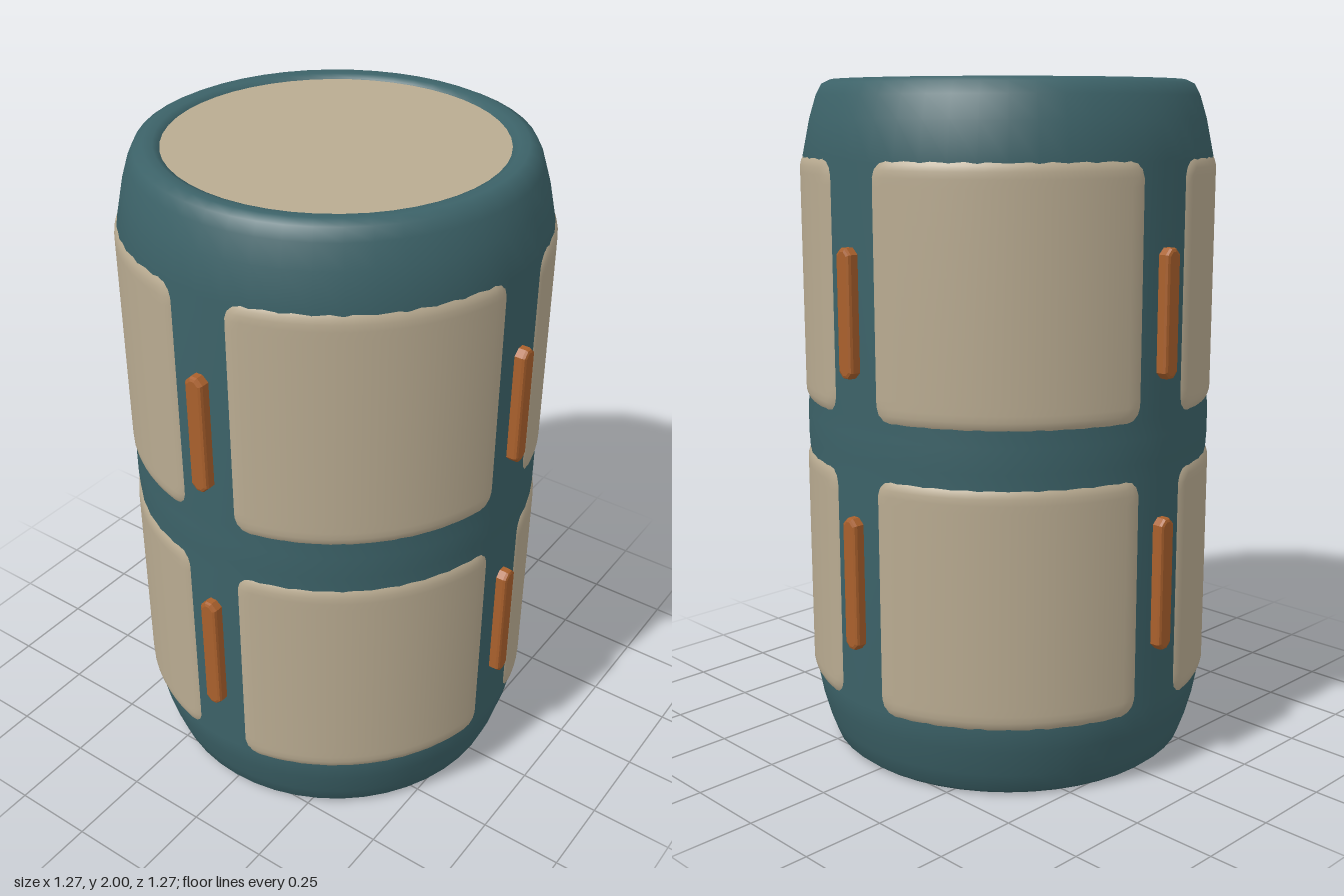
import * as THREE from 'three';

const teal = new THREE.MeshStandardMaterial({ color: 0x3c6268 });
teal.name = 'teal frame';
const beige = new THREE.MeshStandardMaterial({ color: 0xb9ab91 });
beige.name = 'beige panel';
const orange = new THREE.MeshStandardMaterial({ color: 0xa9602c });
orange.name = 'orange marker';

const R = 0.605;

// Rounded panel bent around the barrel; its edges sink into the frame.
function panelGeometry(height) {
  const hw = 0.402, hh = height / 2 + 0.013, corner = 0.06;
  const geo = new THREE.PlaneGeometry(2, 2, 26, 26);
  const pos = geo.attributes.position;
  const ease = (t) => Math.sign(t) * (1 - (1 - Math.abs(t)) ** 2); // denser near edges
  for (let i = 0; i < pos.count; i++) {
    const s = ease(pos.getX(i)) * hw, y = ease(pos.getY(i)) * hh;
    const qx = Math.abs(s) - hw + corner, qy = Math.abs(y) - hh + corner;
    const inside = corner - Math.hypot(Math.max(qx, 0), Math.max(qy, 0)) - Math.min(Math.max(qx, qy), 0);
    const t = THREE.MathUtils.clamp(inside / 0.04, 0, 1);
    const r = 0.596 + 0.017 * (1 - (1 - t) ** 2);
    const a = s / 0.61;
    pos.setXYZ(i, Math.sin(a) * r, y, Math.cos(a) * r);
  }
  geo.computeVertexNormals();
  return geo;
}

// Slim bevelled bar lying on a post
function markerGeometry(height) {
  const w = 0.018, h = height / 2 - 0.01, c = 0.012;
  const shape = new THREE.Shape([
    [-w + c, -h], [w - c, -h], [w, -h + c], [w, h - c],
    [w - c, h], [-w + c, h], [-w, h - c], [-w, -h + c],
  ].map(([x, y]) => new THREE.Vector2(x, y)));
  return new THREE.ExtrudeGeometry(shape, {
    depth: 0.035, bevelEnabled: true, bevelSize: 0.01, bevelThickness: 0.01, bevelSegments: 2,
  });
}

export function createModel() {
  const model = new THREE.Group();
  model.name = 'barrel';
  const add = (name, geo, mat, y = 0, turn = 0) => {
    const mesh = new THREE.Mesh(geo, mat);
    mesh.name = name;
    mesh.position.y = y;
    mesh.rotation.y = turn;
    model.add(mesh);
    return mesh;
  };

  // Frame with rounded rims
  const profile = [
    [0.49, 0.012], [0.505, 0.002], [0.53, 0], [0.548, 0.015], [0.568, 0.07], [0.59, 0.15],
    [R, 0.23], [R, 0.91], [0.608, 0.96], [0.608, 1.03], [R, 1.08], [R, 1.78],
    [0.582, 1.89], [0.562, 1.955], [0.545, 1.988], [0.52, 2], [0.492, 1.998], [0.475, 1.99], [0.47, 1.975],
  ].map(([x, y]) => new THREE.Vector2(x, y));
  add('frame', new THREE.LatheGeometry(profile, 48), teal);

  // End caps
  add('topCap', new THREE.CircleGeometry(0.476, 48).rotateX(-Math.PI / 2), beige, 1.987);
  add('bottomCap', new THREE.CircleGeometry(0.503, 48).rotateX(Math.PI / 2), beige, 0.005);

  // Two tiers of four panels, with markers on the posts between them
  const tiers = [
    { name: 'lower', panelY: 0.57, panelH: 0.685, markerY: 0.597, markerH: 0.39 },
    { name: 'upper', panelY: 1.43, panelH: 0.7, markerY: 1.37, markerH: 0.36 },
  ];
  for (const tier of tiers) {
    const panel = panelGeometry(tier.panelH);
    const marker = markerGeometry(tier.markerH).translate(0, 0, 0.591);
    for (let i = 0; i < 4; i++) {
      const turn = (i * Math.PI) / 2;
      add(tier.name + 'Panel' + (i + 1), panel, beige, tier.panelY, turn + Math.PI / 4);
      add(tier.name + 'Marker' + (i + 1), marker, orange, tier.markerY, turn);
    }
  }
  return model;
}
